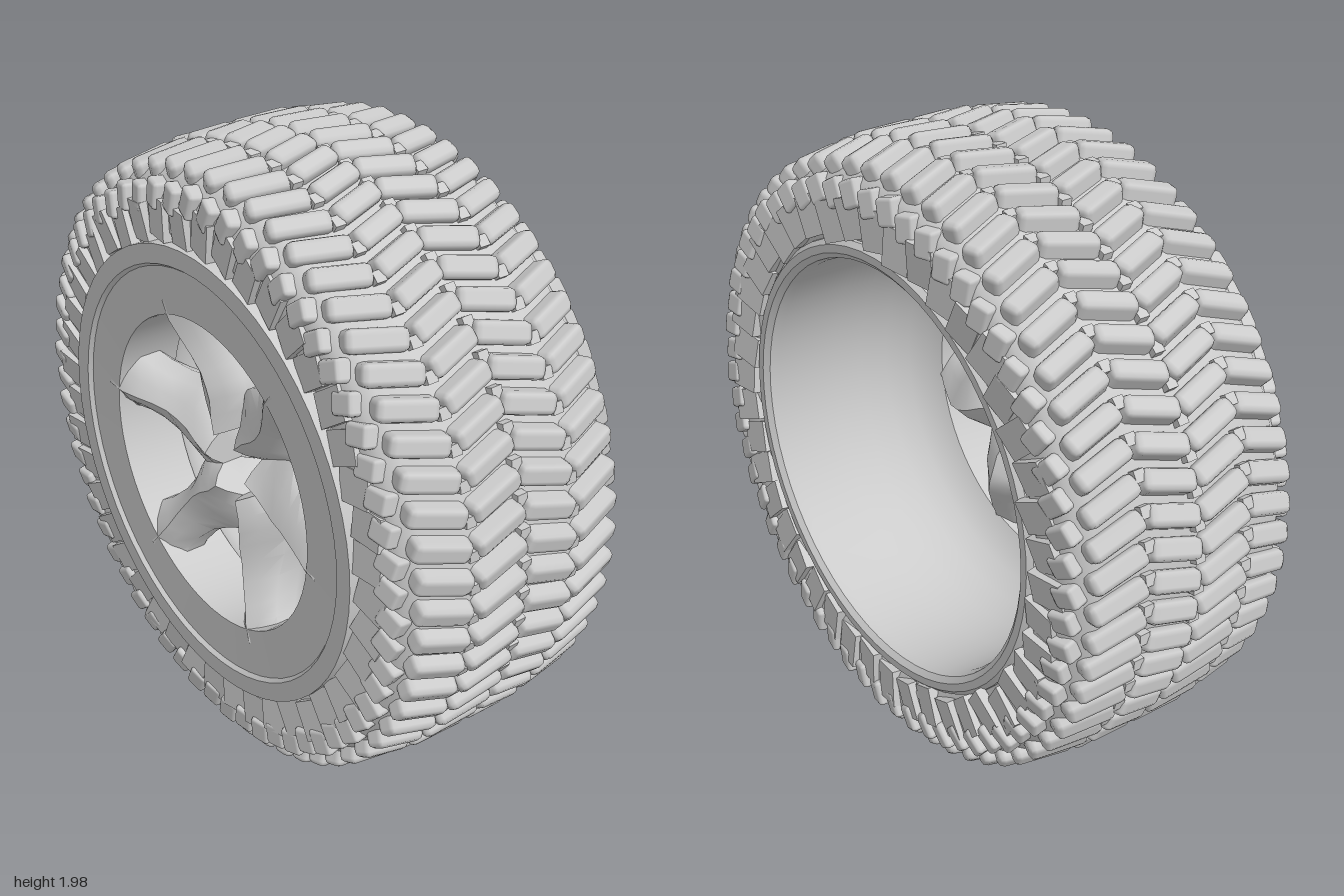
import * as THREE from 'three';
import { mergeGeometries, toCreasedNormals } from 'three/addons/utils/BufferGeometryUtils.js';
import { RoundedBoxGeometry } from 'three/addons/geometries/RoundedBoxGeometry.js';

const material = new THREE.MeshStandardMaterial({ color: 0xcccccc, side: THREE.DoubleSide });

function mesh(name, geometry) {
  const m = new THREE.Mesh(geometry, material);
  m.name = name;
  return m;
}

// Solid of revolution about the x axis from [radius, x] pairs
function revolve(name, profile, crease) {
  const lathe = new THREE.LatheGeometry(profile.map(([r, x]) => new THREE.Vector2(r, x)), 60);
  lathe.rotateZ(-Math.PI / 2);
  return mesh(name, toCreasedNormals(lathe, crease));
}

// Ring of blocks: place(i) gives x, radius, phase (in steps) and tilt angles
function blockRing(name, block, count, place) {
  const parts = [];
  for (let i = 0; i < count; i++) {
    const { x, r, phase = 0, tilt } = place(i);
    const g = block.clone();
    g.applyMatrix4(new THREE.Matrix4().makeRotationFromEuler(new THREE.Euler(...tilt, 'ZYX')));
    g.translate(x, r, 0);
    g.rotateX(((i + phase) / count) * Math.PI * 2);
    parts.push(g);
  }
  return mesh(name, mergeGeometries(parts));
}

// One spoke, lofted outward from the hub along -z, bulging into the barrel
function spokeGeometry() {
  // radius, sideways shift, half width, outer x, inner x, ridge shift
  const sections = [
    [0.105, 0, 0, -0.24, -0.24, 0],
    [0.105, 0, 0.061, -0.34, -0.12, 0],
    [0.16, 0.004, 0.1, -0.34, -0.09, 0.2],
    [0.21, 0.01, 0.13, -0.34, -0.075, 0.4],
    [0.25, 0.018, 0.122, -0.345, -0.07, 0.5],
    [0.30, 0.032, 0.1, -0.35, -0.08, 0.5],
    [0.36, 0.05, 0.082, -0.365, -0.11, 0.3],
    [0.43, 0.068, 0.082, -0.385, -0.145, -0.1],
    [0.48, 0.082, 0.094, -0.4, -0.175, -0.3],
    [0.54, 0.094, 0.12, -0.405, -0.2, -0.3],
  ];
  // cross-section: across the width, and from outer (0) to inner (1) face
  const outline = [[-1, 0.3], [-1, 0.6], [-0.5, 0.85], [0, 1], [0.5, 0.85], [1, 0.6], [1, 0.3], [0.5, 0.12], [0, 0], [-0.5, 0.12]];
  const n = outline.length, pos = [], index = [];
  sections.forEach(([r, shift, w, outer, inner, ridge], j) => {
    for (const [u, v] of outline) {
      const s = u + ridge * 0.6 * (1 - Math.abs(u));
      pos.push(outer + (inner - outer) * v, shift + s * w, -r);
    }
    if (j === 0) return;
    for (let i = 0; i < n; i++) {
      const a = (j - 1) * n + i, b = (j - 1) * n + ((i + 1) % n);
      index.push(a, a + n, b, b, a + n, b + n);
    }
  });
  const g = new THREE.BufferGeometry();
  g.setAttribute('position', new THREE.Float32BufferAttribute(pos, 3));
  g.setIndex(index);
  return toCreasedNormals(g, 0.9);
}

export function createModel() {
  const wheel = new THREE.Group();
  wheel.name = 'wheel';
  const axle = new THREE.Group();
  axle.name = 'tyreAndRim';
  axle.position.y = 0.997;
  wheel.add(axle);

  // Tyre body
  const half = [[0.70, 0.36], [0.75, 0.39], [0.85, 0.388], [0.89, 0.37], [0.925, 0.33], [0.945, 0.18]];
  const body = [...half.map(([r, x]) => [r, -x]), [0.947, 0], ...half.slice().reverse()];
  axle.add(revolve('tyreBody', body, 0.6));

  // Rim: flush face ring, deep window edge, bowl-shaped barrel, rounded inner lip and bead seat
  axle.add(revolve('rim', [
    [0.72, -0.418], [0.66, -0.418], [0.65, -0.405], [0.5, -0.4], [0.5, -0.19],
    [0.54, -0.165], [0.585, -0.115], [0.62, -0.045], [0.64, 0.04], [0.65, 0.14], [0.65, 0.35],
    [0.657, 0.38], [0.675, 0.395], [0.7, 0.395], [0.715, 0.38], [0.72, 0.34],
    [0.69, 0.3], [0.69, -0.3], [0.72, -0.36], [0.72, -0.418],
  ], 0.6));

  // Six spokes meeting around a hexagonal hub opening
  const spoke = spokeGeometry();
  for (let i = 0; i < 6; i++) {
    const s = mesh('spoke', spoke);
    s.rotation.x = (i * Math.PI) / 3;
    axle.add(s);
  }

  // Four rows of slanted tread blocks, the outer ones sloping to the shoulder
  const count = 60;
  const treadBlock = new RoundedBoxGeometry(0.184, 0.085, 0.068, 1, 0.02);
  [-0.27, -0.09, 0.09, 0.27].forEach((x, row) => {
    const outerRow = Math.abs(x) > 0.2;
    axle.add(blockRing('treadRow', treadBlock, count, () => ({
      x,
      r: outerRow ? 0.926 : 0.944,
      tilt: [0.35, row % 2 ? 0.32 : -0.32, outerRow ? -Math.sign(x) * 0.15 : 0],
    })));
  });

  // Small ties in the grooves between rows
  const tie = new THREE.BoxGeometry(0.035, 0.05, 0.035);
  for (const x of [-0.18, 0, 0.18]) {
    axle.add(blockRing('grooveTie', tie, count, () => ({ x, r: 0.943, phase: 0.45, tilt: [0.2, 0, 0] })));
  }

  // Shoulder lugs and overlapping sidewall plates on both sides
  const lug = new RoundedBoxGeometry(0.06, 0.085, 0.068, 1, 0.012);
  const plate = new THREE.BoxGeometry(0.03, 0.125, 0.1);
  for (const side of [-1, 1]) {
    axle.add(blockRing('shoulderLug', lug, count, (i) => ({
      x: side * 0.376, r: 0.853 + 0.008 * (i % 2), phase: 0.3, tilt: [0.35, side * 0.2, side * 0.15],
    })));
    axle.add(blockRing('sidewallPlate', plate, 44, (i) => ({
      x: side * 0.386, r: 0.783 + 0.012 * Math.sin(i * 2.3),
      tilt: [0.15 + 0.1 * Math.sin(i * 1.7), side * 0.16, 0.06 * Math.sin(i * 3.1)],
    })));
  }
  return wheel;
}
